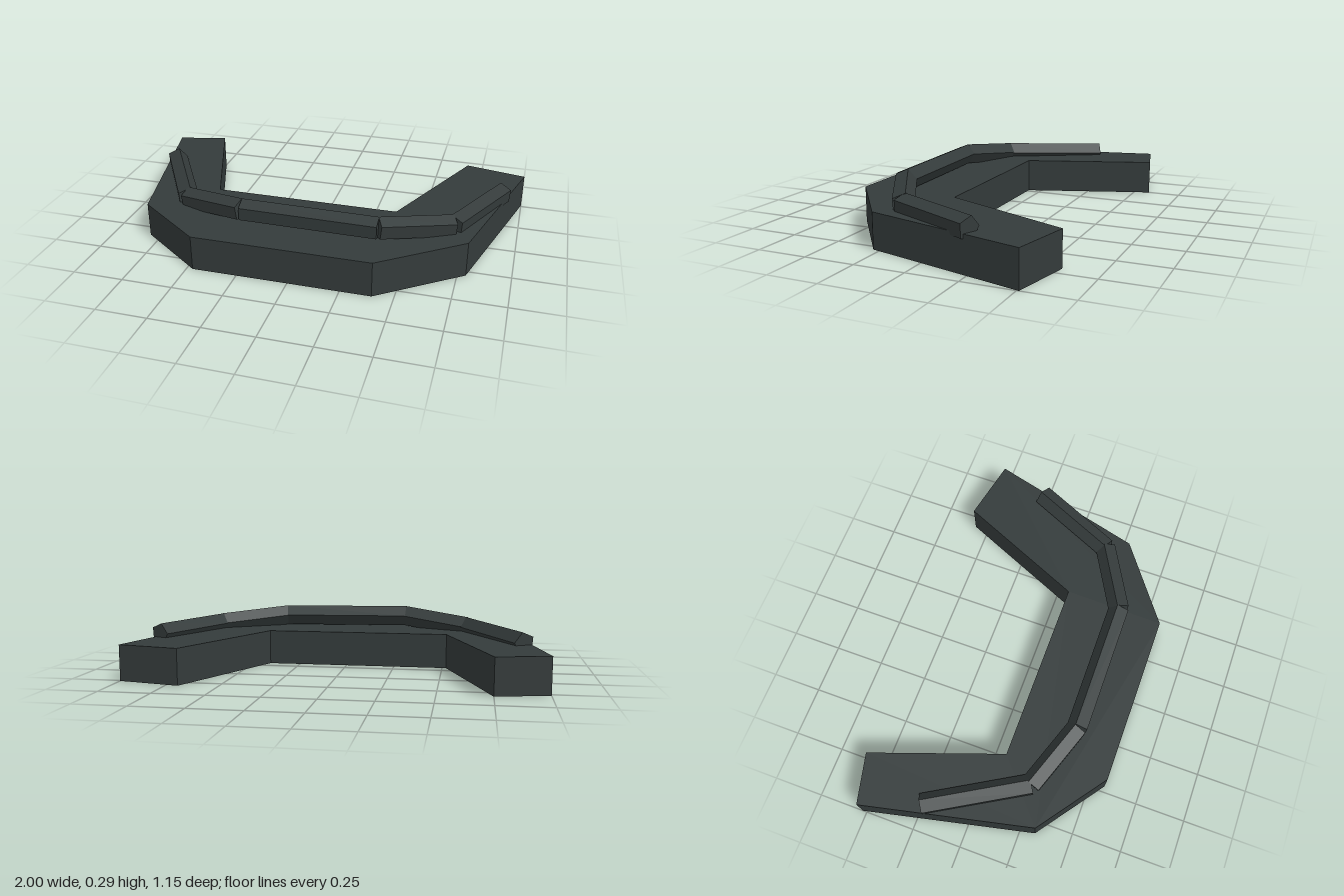
import * as THREE from 'three';

const darkSlate = new THREE.MeshStandardMaterial({ color: 0x343b3b });
darkSlate.name = 'dark slate';

// Flat slab cut from a plan outline of [x, z] corners
function slab(outline, height) {
  const shape = new THREE.Shape(outline.map(([x, z]) => new THREE.Vector2(x, -z)));
  const geometry = new THREE.ExtrudeGeometry(shape, { depth: height, bevelEnabled: false });
  geometry.rotateX(-Math.PI / 2);
  return new THREE.Mesh(geometry, darkSlate);
}

// Five-sided bar between two points, one flat side turned outward
function bar(from, to) {
  const along = to.clone().sub(from);
  const length = along.length();
  along.normalize();
  const outward = along.clone().cross(new THREE.Vector3(0, 1, 0)).normalize();
  const down = along.clone().cross(outward);
  let geometry = new THREE.CylinderGeometry(0.055, 0.055, length, 5, 1, false, -THREE.MathUtils.degToRad(32));
  geometry = geometry.toNonIndexed();
  geometry.computeVertexNormals();
  geometry.applyMatrix4(new THREE.Matrix4().makeBasis(down, along, outward));
  const mesh = new THREE.Mesh(geometry, darkSlate);
  mesh.position.copy(from).add(to).multiplyScalar(0.5);
  return mesh;
}

export function createModel() {
  const model = new THREE.Group();
  model.name = 'curvedLedge';

  // Angular horseshoe base
  const base = slab([
    [-1, -0.52], [-0.75, -0.58], [-0.52, 0.07], [0.41, 0.07], [0.69, -0.575],
    [1, -0.51], [0.79, 0.285], [0.4, 0.575], [-0.47, 0.575], [-0.81, 0.325],
  ], 0.175);
  base.name = 'base';
  model.add(base);

  // Rail of straight bars meeting at open corners
  const rail = new THREE.Group();
  rail.name = 'rail';
  const joints = [
    [-0.895, 0.184, -0.228], [-0.625, 0.195, 0.238], [-0.292, 0.235, 0.358],
    [0.378, 0.229, 0.354], [0.705, 0.198, 0.178], [0.9, 0.192, -0.248],
  ].map((p) => new THREE.Vector3(...p));
  for (let i = 0; i < joints.length - 1; i++) {
    const segment = bar(joints[i], joints[i + 1]);
    segment.name = `railSegment${i + 1}`;
    rail.add(segment);
  }
  model.add(rail);
  return model;
}
